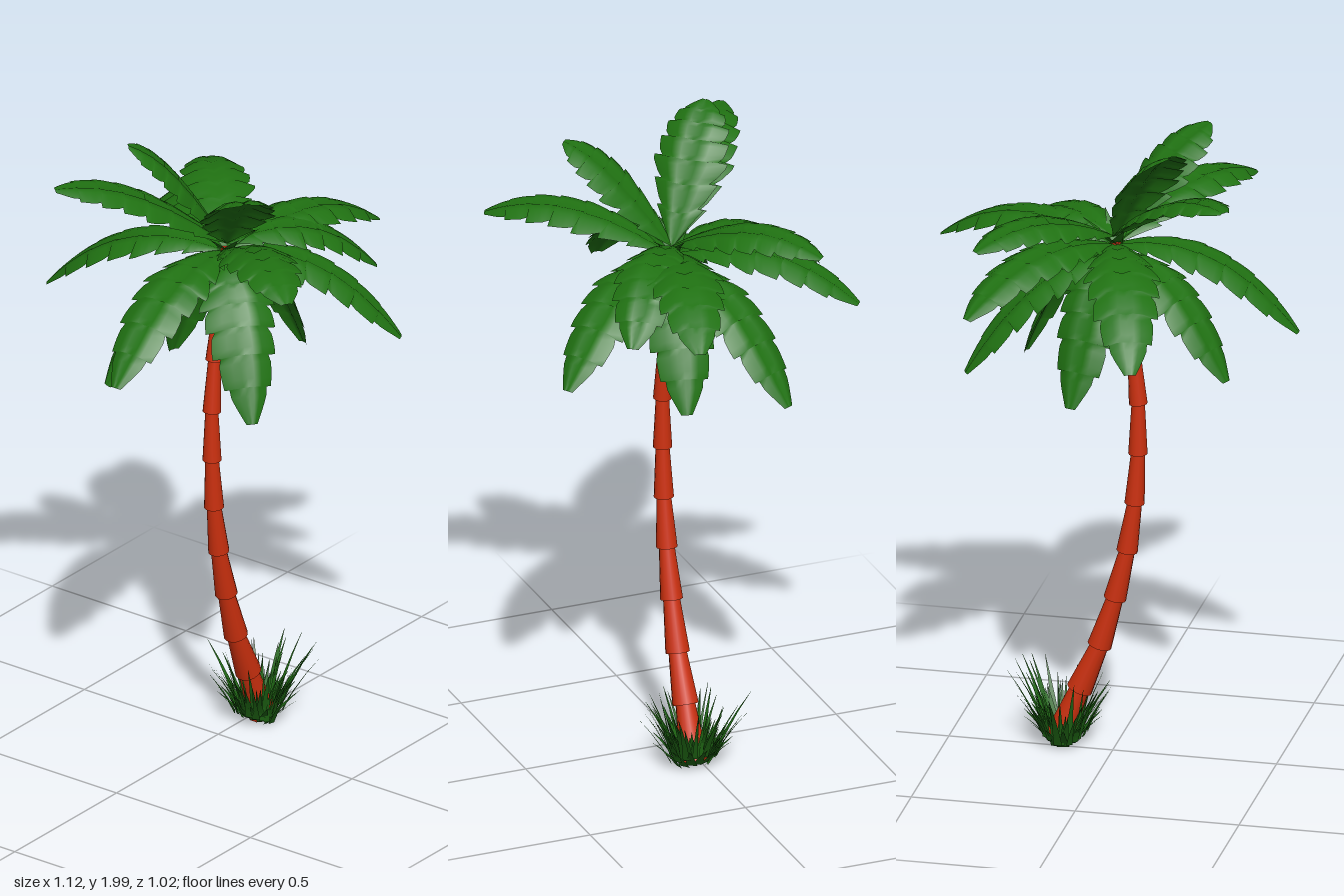
import * as THREE from 'three';

const V = (x, y, z) => new THREE.Vector3(x, y, z);
const trunkMat = new THREE.MeshStandardMaterial({ color: 0xcc300e });
const leafMat = new THREE.MeshStandardMaterial({ color: 0x207212, side: THREE.DoubleSide });
const grassMat = new THREE.MeshStandardMaterial({ color: 0x1f6614, side: THREE.DoubleSide });
const UP = V(0, 1, 0);

let seed = 7;
const rand = () => (seed = (seed * 16807) % 2147483647) / 2147483647;

// Skin a list of equally long rows of points
function skin(rows) {
  const n = rows[0].length, index = [];
  for (let i = 0; i < rows.length - 1; i++)
    for (let j = 0; j < n - 1; j++) {
      const a = i * n + j, b = a + n;
      index.push(a, a + 1, b, a + 1, b + 1, b);
    }
  const g = new THREE.BufferGeometry().setFromPoints(rows.flat());
  g.setIndex(index);
  g.computeVertexNormals();
  return g;
}

// Half width of a frond along its rib
const WIDTHS = [[0, 0.025], [0.15, 0.072], [0.4, 0.11], [0.7, 0.092], [0.9, 0.06], [1, 0.018]];
function halfWidth(t) {
  const i = Math.max(1, WIDTHS.findIndex(([s]) => s >= t));
  const [a, wa] = WIDTHS[i - 1], [b, wb] = WIDTHS[i];
  return wa + (wb - wa) * (t - a) / (b - a);
}

// Cross-section of a blade: position across, height (sunken rib, drooping edges)
const SECTION = [[-1, -0.3], [-0.55, -0.05], [-0.25, -0.01], [0, -0.1], [0.25, -0.01], [0.55, -0.05], [1, -0.3]];

// Arched frond with a saw-toothed edge
function frond(start, tip, lift) {
  const mid = start.clone().lerp(tip, 0.57);
  mid.y += lift;
  const rib = new THREE.QuadraticBezierCurve3(start, mid, tip);
  const side = V(tip.z - start.z, 0, start.x - tip.x).normalize();
  const rows = [], teeth = 7, steps = 4;
  for (let k = 0; k < teeth; k++)
    for (let s = 0; s <= steps; s++) {
      const f = s / steps;
      const t = (k + f) / teeth;
      const w = halfWidth(t) * (k === teeth - 1 ? 0.85 + 0.1 * f : 0.82 + 0.25 * Math.sqrt(f));
      rows.push(SECTION.map(([u, h]) => {
        // edges sweep toward the tip, but never past it
        const tt = Math.min(1, t + 0.04 * u * u * (1 - t));
        const normal = rib.getTangent(tt).cross(side).normalize();
        if (normal.y < 0) normal.negate();
        return rib.getPoint(tt).addScaledVector(side, u * w).addScaledVector(normal, h * w);
      }));
    }
  return skin(rows);
}

// Thin curved blade of grass
function blade(start, dir, length, width) {
  const out = V(dir.x, 0, dir.z);
  const side = V(-dir.z, 0, dir.x).normalize();
  const rows = [0, 0.35, 0.7, 1].map(t => {
    const p = start.clone().addScaledVector(dir, t * length).addScaledVector(out, 0.4 * t * t * length);
    const w = width * (1 - t) + 0.0005;
    return [p.clone().addScaledVector(side, -w), p.clone().addScaledVector(side, w)];
  });
  return skin(rows);
}

export function createModel() {
  const model = new THREE.Group();
  const add = (parent, name, geometry, material) => {
    const m = new THREE.Mesh(geometry, material);
    m.name = name;
    parent.add(m);
    return m;
  };
  const group = name => {
    const g = new THREE.Group();
    g.name = name;
    model.add(g);
    return g;
  };

  // Curved trunk of flared, overlapping segments
  const trunk = group('trunk');
  const joints = [[0.172, 0.03], [0.108, 0.19], [0.047, 0.335], [0, 0.49], [-0.037, 0.645], [-0.06, 0.8],
    [-0.07, 0.96], [-0.071, 1.12], [-0.058, 1.285], [-0.034, 1.45], [-0.003, 1.62]].map(([x, y]) => V(x, y, 0.03));
  for (let i = 0; i < joints.length - 1; i++) {
    const dir = joints[i + 1].clone().sub(joints[i]);
    const length = dir.length() + 0.015;
    const r = 0.027 + 0.016 * Math.pow(1 - i / 9, 2);
    const seg = add(trunk, 'trunkSegment', new THREE.CylinderGeometry(r * 0.66, r, length, 14), trunkMat);
    seg.quaternion.setFromUnitVectors(UP, dir.clone().normalize());
    seg.position.copy(joints[i]).addScaledVector(dir.normalize(), length / 2);
  }

  // Crown in three tiers: tip x, y, z and arch height
  const tiers = {
    lowerFrond: [[-0.38, 1.28, -0.13, 0.21], [-0.2, 1.2, 0.28, 0.22], [0.29, 1.23, 0.1, 0.22],
      [0.41, 1.26, -0.18, 0.21], [0.08, 1.19, -0.23, 0.22]],
    middleFrond: [[-0.56, 1.39, 0.04, 0.23], [-0.32, 1.71, 0.5, 0.17], [0.27, 1.37, 0.48, 0.22],
      [0.56, 1.56, 0.17, 0.19], [0.35, 1.53, -0.43, 0.19], [-0.17, 1.43, -0.51, 0.22]],
    upperFrond: [[-0.41, 1.89, -0.3, 0.14], [-0.22, 2, -0.17, 0.12], [-0.23, 1.94, 0.28, 0.11],
      [0.37, 1.52, 0.31, 0.2], [0.35, 1.7, -0.31, 0.15]],
  };
  const crown = group('crown');
  Object.entries(tiers).forEach(([name, tips], level) => {
    for (const [x, y, z, lift] of tips)
      add(crown, name, frond(V(0, 1.6 + 0.025 * level, 0.03), V(x, y, z), lift), leafMat);
  });

  // Short young leaves at the heart of the crown
  for (let i = 0; i < 6; i++) {
    const a = i * 1.05;
    add(crown, 'youngLeaf', blade(V(0, 1.62, 0.03), V(Math.cos(a) * 0.6, 0.7, Math.sin(a) * 0.6), 0.12, 0.025), leafMat);
  }

  // Grass around the foot of the trunk, its roots rising away from the lowest point
  const grass = group('grass');
  const root = (c, s, r) => V(0.158 + c * r, 0.022 + Math.abs(c * r + 0.015) * 0.5, 0.03 + s * r);
  for (let i = 0; i < 90; i++) {
    const a = i * 2.39996;
    const c = Math.cos(a), s = Math.sin(a);
    const lean = 0.1 + 0.4 * rand();
    const dir = V(c * lean, 1, s * lean).normalize();
    add(grass, 'grassBlade', blade(root(c, s, 0.035 + 0.04 * rand()), dir, 0.08 + 0.13 * rand(), 0.007 + 0.006 * rand()), grassMat);
  }
  // Broad leaves wrapping the foot
  for (let i = 0; i < 14; i++) {
    const a = i * Math.PI / 7, c = Math.cos(a), s = Math.sin(a);
    add(grass, 'broadBlade', blade(root(c, s, 0.045).setY(0.012 + Math.abs(c) * 0.02),
      V(c * 0.55, 0.8, s * 0.55), 0.1, 0.018), grassMat);
  }
  return model;
}
